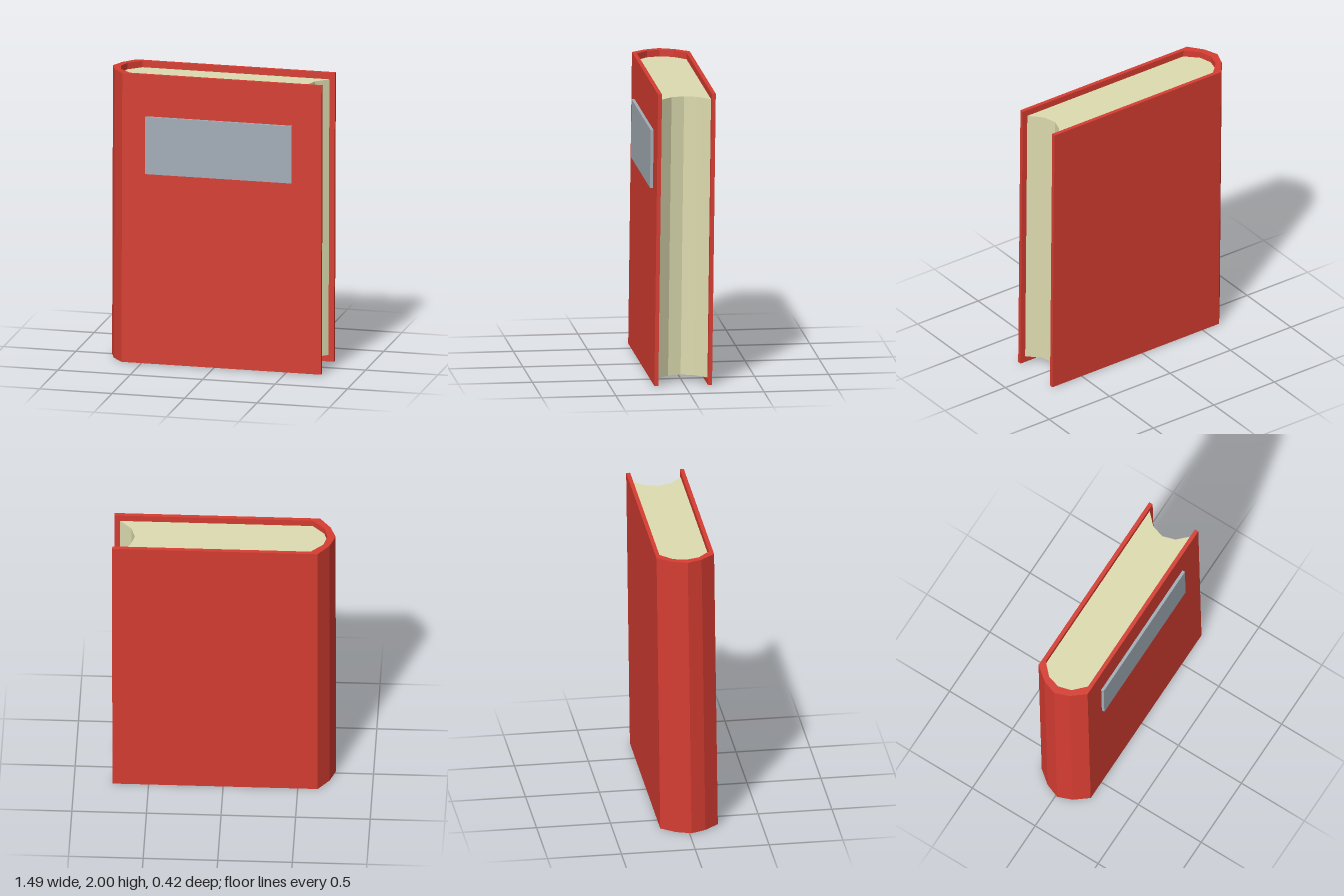
import * as THREE from 'three';

const HEIGHT = 1.995;
const HALF = 0.195;  // half the thickness of the closed book
const INNER = 0.168; // half the thickness of the page block

// Mirrors half a profile [x, z >= 0] about z = 0; the last point lies on the axis
const mirrored = (half) => [...half, ...half.slice(0, -1).reverse().map(([x, z]) => [x, -z])];

// Upright prism from an [x, z] outline, centred on y = 0
function prism(name, outline, height, color) {
  const shape = new THREE.Shape(outline.map(([x, z]) => new THREE.Vector2(x, z)));
  const geometry = new THREE.ExtrudeGeometry(shape, { depth: height, bevelEnabled: false });
  geometry.rotateX(-Math.PI / 2).translate(0, -height / 2, 0);
  const mesh = new THREE.Mesh(geometry, new THREE.MeshStandardMaterial({ color, flatShading: true }));
  mesh.name = name;
  return mesh;
}

export function createModel() {
  const group = new THREE.Group();
  group.name = 'book';
  const book = new THREE.Group();
  book.name = 'leaningBook';

  // Faceted spine, outside and inside
  const spineOuter = mirrored([[-0.634, HALF], [-0.71, 0.099], [-0.747, 0]]);
  const spineInner = mirrored([[-0.586, INNER], [-0.668, 0.088], [-0.692, 0]]);
  // Hollow fore edge of the pages
  const foreEdge = mirrored([[0.705, INNER], [0.626, 0.088], [0.599, 0]]);

  // Both covers and the spine as one wrapped case
  const caseOutline = [
    [0.743, HALF], ...spineOuter, [0.743, -HALF],
    [0.743, -INNER], ...[...spineInner].reverse(), [0.743, INNER],
  ];
  book.add(prism('cover', caseOutline, HEIGHT, 0xd63d32));

  // Page block, a little shorter than the case
  book.add(prism('pages', [...spineInner, ...[...foreEdge].reverse()], 1.905, 0xdddcb0));

  // Title plate on the front cover
  const plate = new THREE.Mesh(
    new THREE.BoxGeometry(1.01, 0.395, 0.02),
    new THREE.MeshStandardMaterial({ color: 0xa3aeb7, flatShading: true }),
  );
  plate.name = 'titlePlate';
  plate.position.set(0.035, 0.513, HALF + 0.01);
  book.add(plate);

  // The book leans back very slightly
  book.rotation.x = -0.0127;
  book.position.y = 1;
  group.add(book);
  return group;
}
